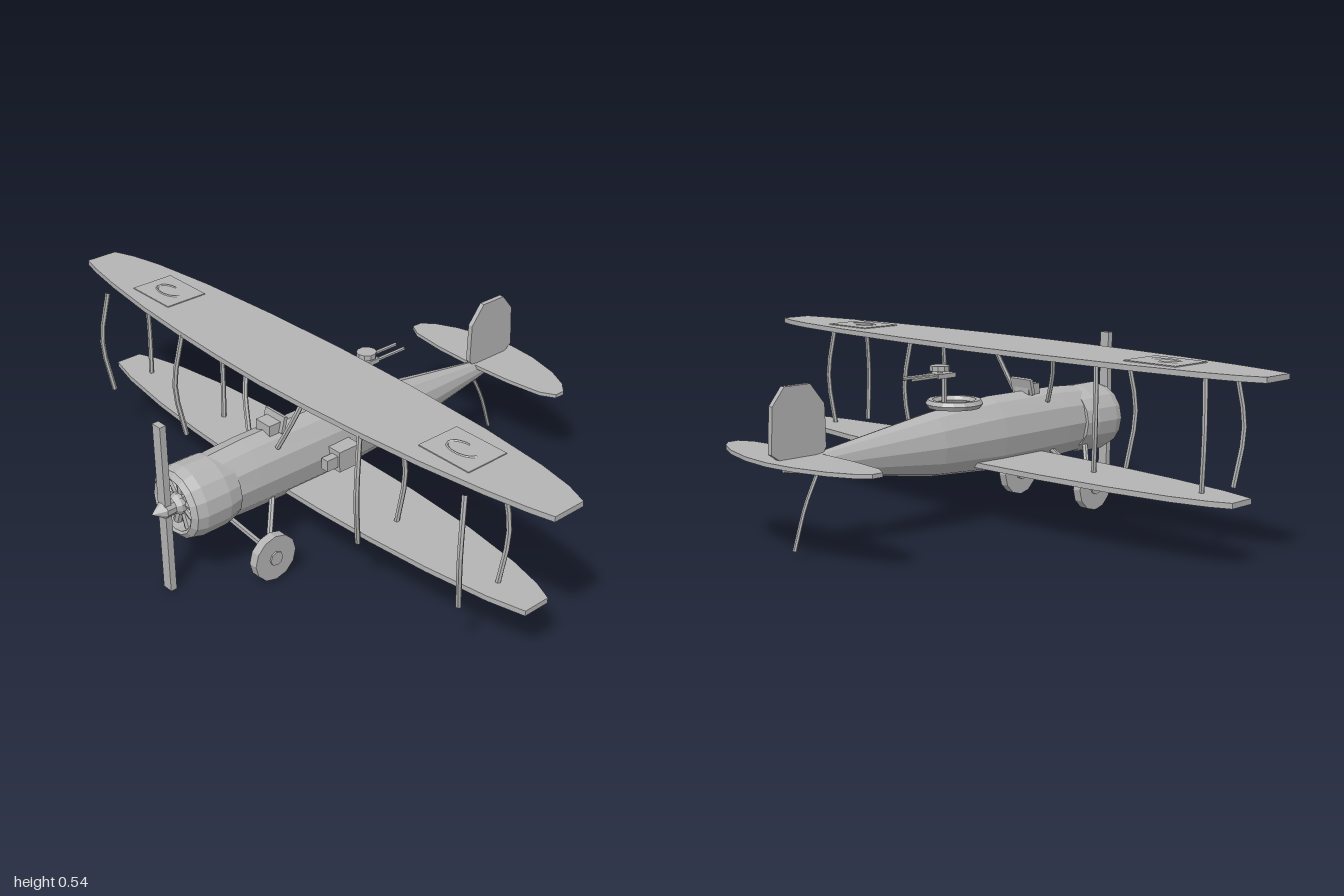
import * as THREE from 'three';

const grey = new THREE.MeshStandardMaterial({ color: 0xb4b4b4, flatShading: true });
grey.name = 'airframe grey';

const V = (x, y, z) => new THREE.Vector3(x, y, z);

export function createModel() {
  const model = new THREE.Group();
  model.name = 'biplane';

  function add(name, geometry, x = 0, y = 0, z = 0) {
    const mesh = new THREE.Mesh(geometry, grey);
    mesh.name = name;
    mesh.position.set(x, y, z);
    model.add(mesh);
    return mesh;
  }
  const box = (name, w, h, d, x, y, z) => add(name, new THREE.BoxGeometry(w, h, d), x, y, z);

  // Rod bent through the given points
  function rod(name, points, r, segments = 6) {
    const curve = points.length > 2 ? new THREE.CatmullRomCurve3(points) : new THREE.LineCurve3(...points);
    return add(name, new THREE.TubeGeometry(curve, points.length > 2 ? segments : 1, r, 6));
  }

  // Horizontal surface from half an outline of [x, z], mirrored across x = 0
  function plate(name, half, thickness, y) {
    const right = half.map(([x, z]) => new THREE.Vector2(x, -z));
    const left = half.slice(1, -1).reverse().map(([x, z]) => new THREE.Vector2(-x, -z));
    const g = new THREE.ExtrudeGeometry(new THREE.Shape([...right, ...left]), { depth: thickness, bevelEnabled: false });
    g.rotateX(-Math.PI / 2);
    return add(name, g, 0, y, 0);
  }

  // Lathe about the z axis from [radius, z] points
  function turned(name, profile, sides) {
    const g = new THREE.LatheGeometry(profile.map(([r, z]) => new THREE.Vector2(r, z)), sides);
    return add(name, g.rotateX(Math.PI / 2));
  }

  // Fuselage: rows of [z, centre y, half width, half height]
  const rows = [
    [0.52, 0.267, 0.088, 0.106], [0.40, 0.267, 0.09, 0.113], [0.12, 0.265, 0.09, 0.115],
    [-0.12, 0.262, 0.079, 0.096], [-0.55, 0.264, 0.024, 0.03], [-0.655, 0.263, 0.007, 0.008],
  ];
  const body = new THREE.CylinderGeometry(1, 1, 1, 12, rows.length - 1).rotateX(Math.PI / 2);
  const p = body.attributes.position;
  for (let i = 0; i < p.count; i++) {
    const [z, cy, rx, ry] = rows[Math.round((0.5 - p.getZ(i)) * (rows.length - 1))];
    p.setXYZ(i, p.getX(i) * rx, cy + p.getY(i) * ry, z);
  }
  body.computeVertexNormals();
  add('fuselage', body);

  // Cowling with a recessed radial engine
  turned('cowling', [[0, 0.47], [0.098, 0.475], [0.109, 0.52], [0.11, 0.6], [0.102, 0.63],
    [0.086, 0.643], [0.078, 0.638], [0.078, 0.585], [0, 0.585]], 16).position.y = 0.265;
  for (let i = 0; i < 9; i++) {
    const a = (i / 9) * Math.PI * 2;
    const c = add('engineCylinder', new THREE.CylinderGeometry(0.014, 0.014, 0.05, 8),
      Math.sin(a) * 0.052, 0.265 + Math.cos(a) * 0.052, 0.608);
    c.rotation.z = -a;
  }
  turned('crankcase', [[0, 0.58], [0.032, 0.58], [0.032, 0.63], [0.018, 0.65], [0, 0.65]], 10).position.y = 0.265;

  // Propeller and spinner
  turned('spinner', [[0, 0.64], [0.024, 0.645], [0.026, 0.675], [0.012, 0.695], [0, 0.712]], 10).position.y = 0.265;
  box('propeller', 0.034, 0.53, 0.02, 0, 0.267, 0.668);

  // Wings
  plate('upperWing', [[0, 0.327], [0.2, 0.322], [0.4, 0.311], [0.6, 0.294], [0.8, 0.268], [0.93, 0.245],
    [1, 0.228], [1, 0.125], [0.93, 0.098], [0.82, 0.075], [0.6, 0.05], [0.3, 0.034], [0, 0.028]], 0.016, 0.525);
  plate('lowerWing', [[0, 0.29], [0.2, 0.287], [0.4, 0.277], [0.6, 0.26], [0.8, 0.232], [0.91, 0.205],
    [0.91, 0.12], [0.85, 0.094], [0.74, 0.066], [0.55, 0.038], [0.3, 0.02], [0, 0.014]], 0.016, 0.182);

  // Tail
  plate('tailplane', [[0, -0.53], [0.15, -0.535], [0.27, -0.55], [0.315, -0.575], [0.315, -0.61],
    [0.28, -0.643], [0.21, -0.677], [0.1, -0.706], [0, -0.715]], 0.012, 0.28);
  const fin = new THREE.Shape([[-0.53, 0.28], [-0.512, 0.31], [-0.516, 0.43], [-0.565, 0.49], [-0.653, 0.49],
    [-0.694, 0.44], [-0.7, 0.31], [-0.656, 0.28]].map(([z, y]) => new THREE.Vector2(z, y)));
  add('fin', new THREE.ExtrudeGeometry(fin, { depth: 0.016, bevelEnabled: false }).rotateY(-Math.PI / 2), 0.008);
  rod('tailSkid', [V(0, 0.235, -0.54), V(0, 0.15, -0.583), V(0, 0.03, -0.623)], 0.006);

  for (const s of [1, -1]) {
    // Bowed struts between the wings
    for (const x of [0.39, 0.775]) {
      rod('frontStrut', [V(s * x, 0.53, 0.305), V(s * (x + 0.016), 0.36, 0.33), V(s * x, 0.19, 0.31)], 0.008);
      rod('rearStrut', [V(s * x, 0.53, 0.168), V(s * (x + 0.016), 0.36, 0.15), V(s * x, 0.19, 0.165)], 0.008);
    }
    rod('cabaneStrut', [V(s * 0.13, 0.53, 0.265), V(s * 0.108, 0.45, 0.295), V(s * 0.065, 0.35, 0.32)], 0.008);

    // Landing gear
    const wheel = add('wheel', new THREE.CylinderGeometry(0.072, 0.072, 0.028, 12), s * 0.16, 0.079, 0.424);
    wheel.rotation.z = Math.PI / 2;
    const hub = add('wheelHub', new THREE.CylinderGeometry(0.022, 0.022, 0.042, 8), s * 0.158, 0.079, 0.424);
    hub.rotation.z = Math.PI / 2;
    rod('frontGearLeg', [V(s * 0.142, 0.09, 0.424), V(s * 0.05, 0.21, 0.51)], 0.009);
    rod('rearGearLeg', [V(s * 0.142, 0.09, 0.424), V(s * 0.05, 0.21, 0.33)], 0.009);

    // Raised panels on the upper wing
    box('wingPanel', 0.18, 0.004, 0.14, s * 0.635, 0.542, 0.172);
    const ring = add('panelRing', new THREE.TorusGeometry(0.05, 0.005, 4, 16, Math.PI * 1.5), s * 0.635, 0.544, 0.172);
    ring.rotation.x = Math.PI / 2;
    ring.scale.set(1, 0.55, 0.6);

    // Twin gun barrels
    rod('gunBarrel', [V(s * 0.018, 0.463, -0.035), V(s * 0.018, 0.463, -0.21)], 0.006);
  }

  // Windshield and coaming ahead of the pilot
  const screen = box('windshield', 0.085, 0.05, 0.012, 0, 0.395, 0.275);
  screen.rotation.x = -0.25;
  box('coaming', 0.06, 0.04, 0.05, 0, 0.383, 0.295);

  // Gunner's ring, mount and ammunition drum
  add('gunnerRing', new THREE.TorusGeometry(0.072, 0.014, 6, 16).rotateX(Math.PI / 2), 0, 0.374, -0.018);
  add('gunPost', new THREE.CylinderGeometry(0.008, 0.008, 0.1, 6), 0, 0.42, -0.06);
  box('gunCradle', 0.05, 0.014, 0.07, 0, 0.463, -0.07);
  add('drumStem', new THREE.CylinderGeometry(0.008, 0.008, 0.02, 6), 0, 0.474, -0.076);
  add('ammunitionDrum', new THREE.CylinderGeometry(0.03, 0.03, 0.016, 10), 0, 0.484, -0.076);

  // Equipment box on the left side
  box('sideBox', 0.05, 0.066, 0.078, 0.107, 0.26, 0.108);
  box('sideBoxFitting', 0.026, 0.036, 0.045, 0.112, 0.26, 0.165);

  return model;
}
